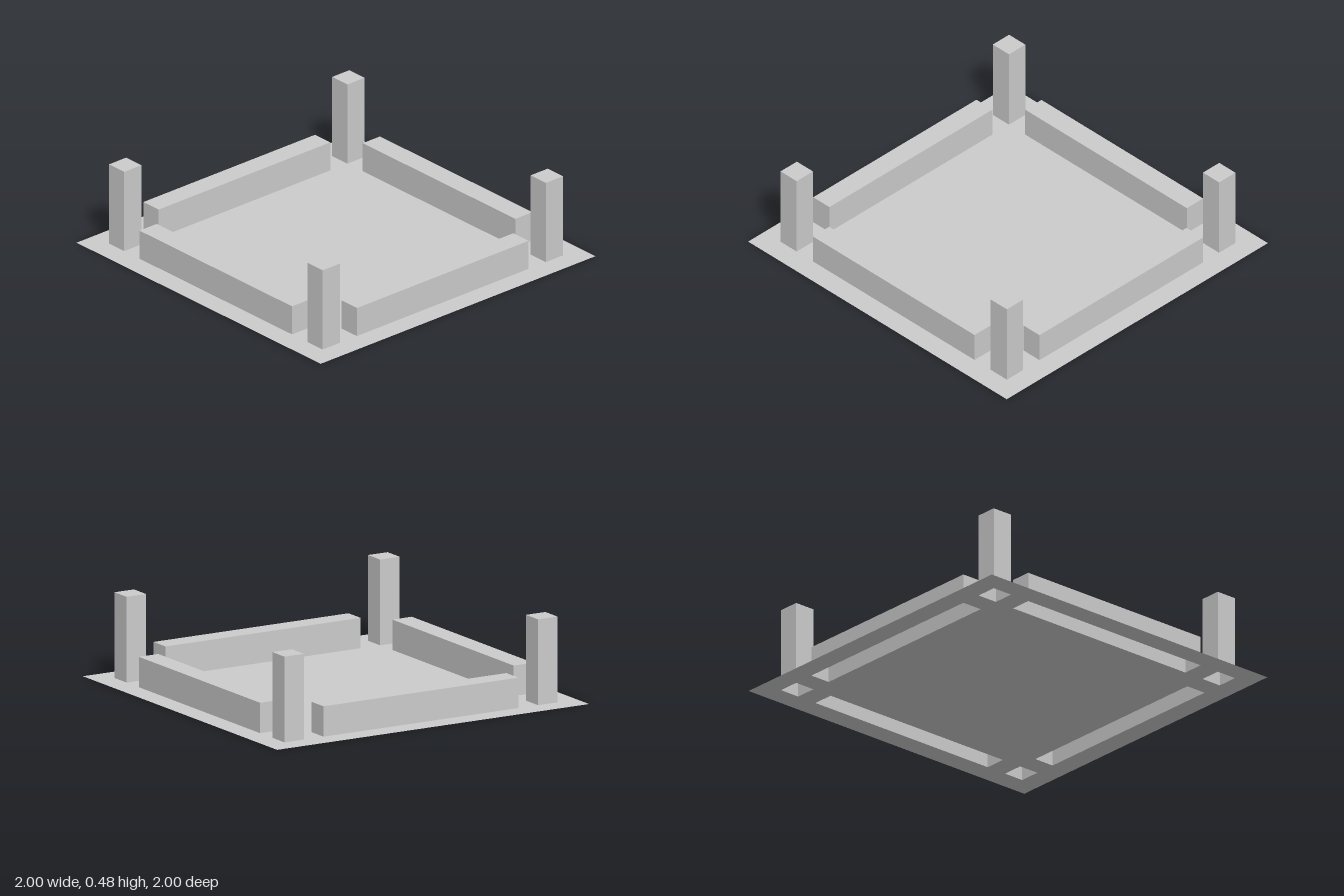
import * as THREE from 'three';

const material = new THREE.MeshStandardMaterial({ color: 0xcccccc, flatShading: true, side: THREE.DoubleSide });

// Hollow block standing on y = 0, open underneath
function openBlock(width, height, depth) {
  const geometry = new THREE.BoxGeometry(width, height, depth);
  const index = Array.from(geometry.index.array);
  index.splice(18, 6); // drop the bottom face
  geometry.setIndex(index);
  geometry.clearGroups();
  return geometry.translate(0, height / 2, 0);
}

function rectangle(path, x, y, width, height) {
  const w = width / 2, h = height / 2;
  path.moveTo(x - w, y - h);
  path.lineTo(x + w, y - h);
  path.lineTo(x + w, y + h);
  path.lineTo(x - w, y + h);
  path.closePath();
  return path;
}

export function createModel() {
  const model = new THREE.Group();
  const thickness = 0.125, wallLength = 1.25, wallHeight = 0.17, postHeight = 0.48;
  const offset = 0.8125; // centre line of walls and posts

  const floorShape = rectangle(new THREE.Shape(), 0, 0, 2, 2);

  // Adds a block and cuts the matching opening in the floor
  function addBlock(name, x, z, width, height, depth) {
    const mesh = new THREE.Mesh(openBlock(width, height, depth), material);
    mesh.name = name;
    mesh.position.set(x, 0, z);
    model.add(mesh);
    floorShape.holes.push(rectangle(new THREE.Path(), x, -z, width, depth));
  }

  // Low walls along the four sides
  addBlock('frontWall', 0, offset, wallLength, wallHeight, thickness);
  addBlock('backWall', 0, -offset, wallLength, wallHeight, thickness);
  addBlock('leftWall', offset, 0, thickness, wallHeight, wallLength);
  addBlock('rightWall', -offset, 0, thickness, wallHeight, wallLength);

  // Corner posts
  for (const [xName, sx] of [['Left', 1], ['Right', -1]]) {
    for (const [zName, sz] of [['front', 1], ['back', -1]]) {
      addBlock(`${zName}${xName}Post`, sx * offset, sz * offset, thickness, postHeight, thickness);
    }
  }

  // Flat floor sheet with openings under the blocks
  const floor = new THREE.Mesh(new THREE.ShapeGeometry(floorShape).rotateX(-Math.PI / 2), material);
  floor.name = 'floor';
  model.add(floor);

  return model;
}
